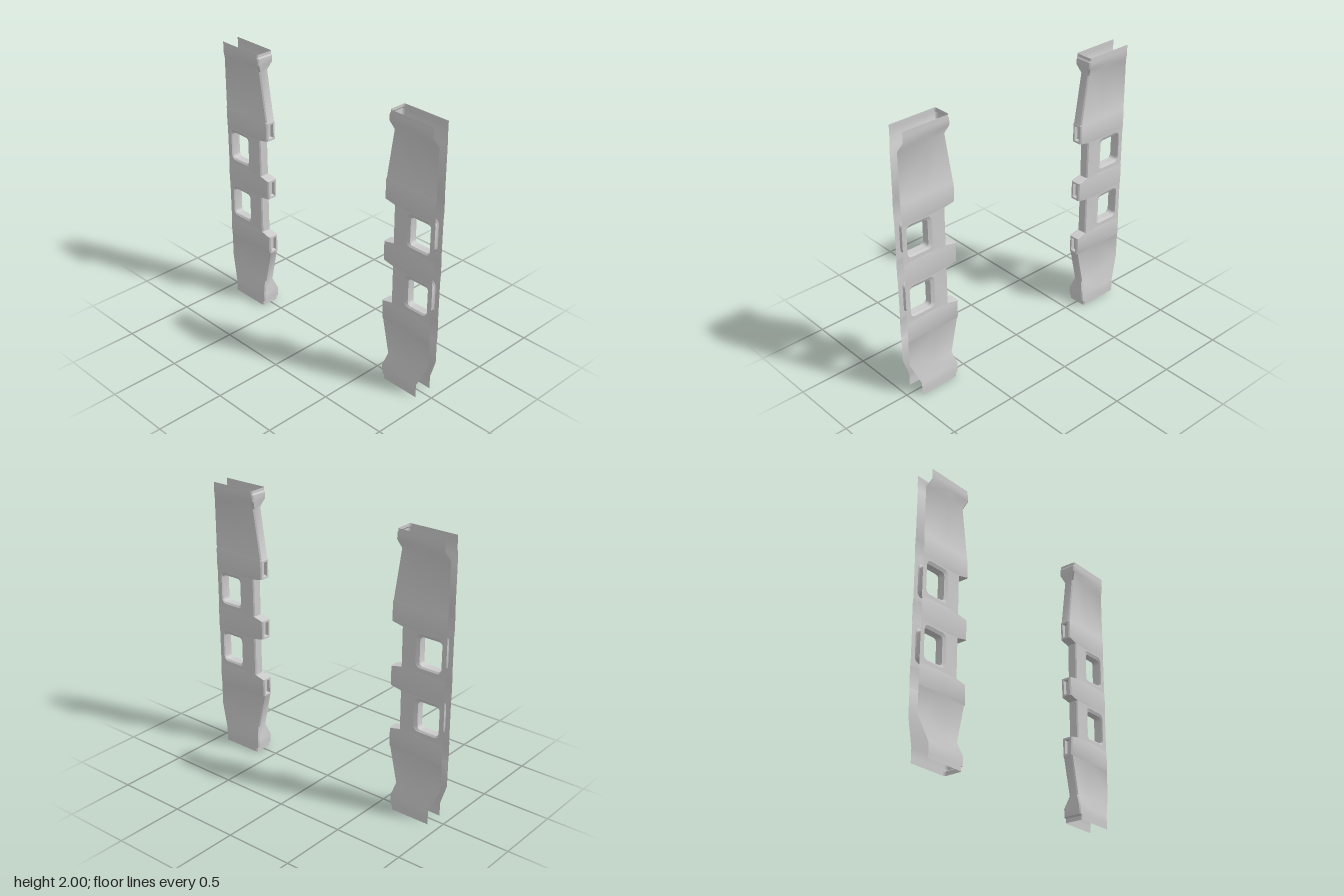
import * as THREE from 'three';
import { toCreasedNormals } from 'three/addons/utils/BufferGeometryUtils.js';

const CHAMFER = 0.008;
const MID_Z = 0.77;
const THIN = 0.037, BAND = 0.04;

// Cross-sections going up: [y, half width, inner z, outer z, options]
const ROWS = [
  [0, 0.07, 0.62, 0.92],
  [0.03, 0.07, 0.62, 0.92],
  [0.04, 0.07, 0.605, 0.92],
  [0.1, 0.07, 0.602, 0.92],
  [0.19, THIN, 0.625, 0.99, { midY: 0.2, outerY: 0.27 }],
  [0.455, THIN, 0.567, 0.99],
  [0.462, BAND, 0.563, 0.99, { slot: true }],
  [0.595, BAND, 0.563, 0.99],
  [0.612, THIN, 0.643, 0.99, { window: 0.64 }],
  [0.895, THIN, 0.643, 0.99],
  [0.912, BAND, 0.563, 0.99, { slot: true }],
  [1.05, BAND, 0.563, 0.99],
  [1.067, THIN, 0.643, 0.99, { window: 1.095 }],
  [1.347, THIN, 0.643, 0.99],
  [1.365, BAND, 0.563, 0.99, { slot: true }],
  [1.5, BAND, 0.563, 0.99],
  [1.507, THIN, 0.567, 0.99],
  [1.865, THIN, 0.622, 0.99],
  [1.925, 0.065, 0.602, 0.965],
  [1.97, 0.065, 0.602, 0.965],
  [1.98, 0.065, 0.61, 0.965],
  [2, 0.065, 0.61, 0.965],
].map(([y, w, zi, zo, o = {}]) => ({ y, w, zi, zo, ...o }));

// Collects triangles for one named part
class Part {
  constructor(name) { this.name = name; this.pos = []; }
  tri(a, b, c) { this.pos.push(...a, ...b, ...c); }
  quad(a, b, c, d) { this.tri(a, b, c); this.tri(a, c, d); }
  // Strip between two closed loops with equal point counts
  loft(A, B) {
    A.forEach((p, i) => {
      const j = (i + 1) % A.length;
      this.quad(p, A[j], B[j], B[i]);
    });
  }
  // Adds the same surface on the other side of x = 0
  mirror() {
    const p = this.pos, n = p.length;
    for (let i = 0; i < n; i += 9)
      for (const k of [0, 6, 3]) p.push(-p[i + k], p[i + k + 1], p[i + k + 2]);
  }
  mesh() {
    const g = new THREE.BufferGeometry();
    g.setAttribute('position', new THREE.Float32BufferAttribute(this.pos, 3));
    const m = new THREE.Mesh(toCreasedNormals(g, 0.5),
      new THREE.MeshStandardMaterial({ color: 0xcccccc, side: THREE.DoubleSide }));
    m.name = this.name;
    return m;
  }
}

// Rounded rectangle outline, counterclockwise, u = -z and v = y
function roundedRect(z0, z1, y0, y1, r) {
  const pts = [];
  const corners = [[-z0 - r, y0 + r, -90], [-z0 - r, y1 - r, 0], [-z1 + r, y1 - r, 90], [-z1 + r, y0 + r, 180]];
  for (const [u, v, start] of corners)
    for (let k = 0; k <= 4; k++) {
      const a = THREE.MathUtils.degToRad(start + k * 22.5);
      pts.push(new THREE.Vector2(u + r * Math.cos(a), v + r * Math.sin(a)));
    }
  return pts;
}
const atX = (pts, x) => pts.map(p => [x, p.y, -p.x]);

// Rectangle facing -z
const rectZ = (w, y0, y1, z) => [[w, y0, z], [-w, y0, z], [-w, y1, z], [w, y1, z]];

// Points across a wall at one row: inner, middle, outer
const wallRow = r => [
  [r.w, r.y, r.zi + CHAMFER],
  [r.w, r.midY ?? r.y, MID_Z],
  [r.w, r.outerY ?? r.y, r.zo],
];

function createPanel() {
  const wall = new Part('sideWalls');
  const bevel = new Part('edgeBevels');
  const edge = new Part('innerEdge');
  const reveal = new Part('windowReveals');
  const slot = new Part('tabSlots');

  for (let i = 0; i < ROWS.length - 1; i++) {
    const a = ROWS[i], b = ROWS[i + 1];
    const lo = wallRow(a), hi = wallRow(b);

    if (a.window) {
      // Wall pierced by a window with a sloped rim
      const y = a.window;
      const rim = roundedRect(0.755, 0.955, y, y + 0.24, 0.035);
      const hole = roundedRect(0.78, 0.95, y + 0.012, y + 0.218, 0.025);
      const shape = new THREE.Shape([lo[2], lo[0], hi[0], hi[2]].map(p => new THREE.Vector2(-p[2], p[1])));
      shape.holes.push(new THREE.Path(rim));
      const g = new THREE.ShapeGeometry(shape).toNonIndexed();
      const q = g.attributes.position;
      for (let k = 0; k < q.count; k++) wall.pos.push(a.w, q.getY(k), -q.getX(k));
      reveal.loft(atX(rim, a.w), atX(hole, 0.027));
      reveal.loft(atX(hole, 0.027), atX(hole, 0));
    } else {
      for (const k of [0, 1]) wall.quad(lo[k + 1], lo[k], hi[k], hi[k + 1]);
    }

    // Bevel from the wall round to the inner edge
    const wa = a.w - CHAMFER, wb = b.w - CHAMFER;
    bevel.quad(lo[0], [wa, a.y, a.zi], [wb, b.y, b.zi], hi[0]);

    if (a.slot) {
      // Tab face with a recessed slot
      const mouth = rectZ(0.02, a.y + 0.014, b.y - 0.014, a.zi);
      const floor = rectZ(0.017, a.y + 0.018, b.y - 0.018, a.zi + 0.025);
      edge.loft(rectZ(wa, a.y, b.y, a.zi), mouth);
      slot.loft(mouth, floor);
      slot.quad(...floor);
    } else {
      edge.quad([wa, a.y, a.zi], [-wa, a.y, a.zi], [-wb, b.y, b.zi], [wb, b.y, b.zi]);
    }
  }

  [wall, bevel, reveal].forEach(p => p.mirror());
  const panel = new THREE.Group();
  panel.add(...[wall, bevel, edge, reveal, slot].map(p => p.mesh()));
  return panel;
}

export function createModel() {
  const model = new THREE.Group();
  model.name = 'channelPanelPair';
  const front = createPanel();
  front.name = 'frontPanel';
  // Facing panel, turned half round
  const back = createPanel();
  back.name = 'backPanel';
  back.rotation.y = Math.PI;
  model.add(front, back);
  return model;
}
